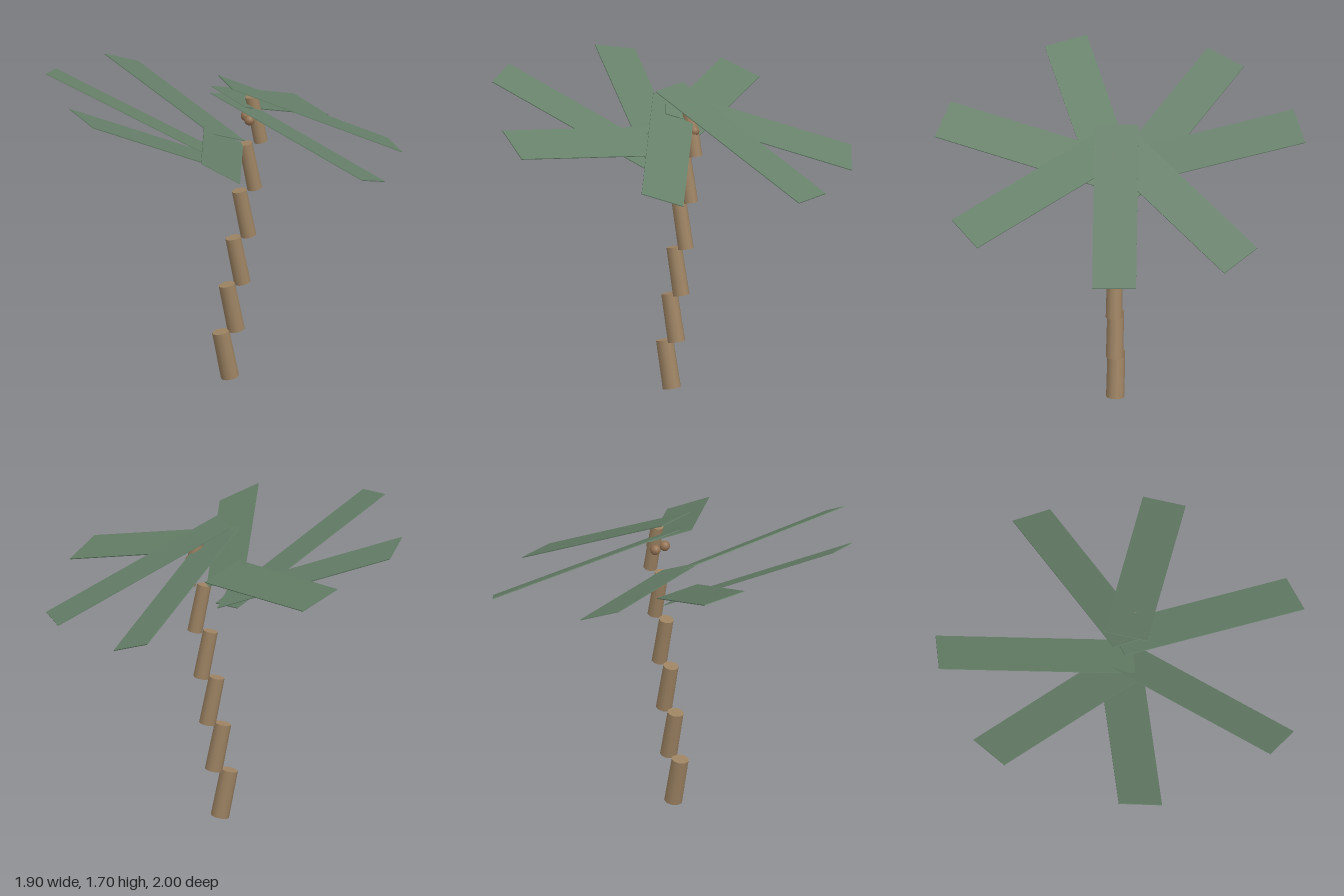
import * as THREE from 'three';

export function createModel() {
  const group = new THREE.Group();
  const bark = new THREE.MeshStandardMaterial({ name: 'bark brown', color: 0x9c8262 });
  const nut = new THREE.MeshStandardMaterial({ name: 'coconut brown', color: 0x927152 });
  const green = new THREE.MeshStandardMaterial({ name: 'leaf green', color: 0x668069 });

  const add = (parent, name, geometry, material) => {
    const mesh = new THREE.Mesh(geometry, material);
    mesh.name = name;
    parent.add(mesh);
    return mesh;
  };

  // Trunk: six tilted, slightly tapering segments stepping towards +x
  const trunk = new THREE.Group();
  trunk.name = 'trunk';
  group.add(trunk);
  for (let i = 0; i < 6; i++) {
    const r = 0.05 - 0.0024 * i;
    const segment = add(trunk, 'trunkSegment', new THREE.CylinderGeometry(r - 0.0025, r, 0.266, 10), bark);
    segment.position.set(-0.024 + 0.0342 * i, 0.141 + 0.2652 * i, 0);
    segment.rotation.z = 0.196;
  }

  // Coconuts: three around the top of the trunk
  for (let i = 0; i < 3; i++) {
    const a = (i * Math.PI * 2) / 3;
    const coconut = add(group, 'coconut', new THREE.SphereGeometry(0.029, 12, 8), nut);
    coconut.position.set(0.121 + 0.042 * Math.cos(a), 1.475, 0.042 * Math.sin(a));
  }

  // Leaves: thin flat blades, each given by root, tip and sideways direction
  const leaves = [
    [[-0.022, 1.685, -0.005], [0.938, 1.222, -0.088], [0.015, 0, 0.235]],
    [[-0.015, 1.615, 0.032], [0.635, 1.26, -0.743], [0.15, -0.08, 0.165]],
    [[-0.03, 1.605, -0.055], [0.61, 1.325, 0.755], [0.16, -0.07, -0.15]],
    [[-0.018, 1.387, 0.04], [-0.363, 1.537, -0.96], [0.205, -0.085, -0.08]],
    [[-0.02, 1.375, -0.055], [-0.29, 1.51, 0.963], [0.2, -0.11, 0.065]],
    [[-0.019, 1.25, 0.01], [-0.865, 1.65, -0.51], [-0.11, 0.05, 0.2]],
    [[-0.029, 1.215, -0.03], [-0.913, 1.675, 0.36], [0.075, -0.04, 0.22]],
  ];
  const crown = new THREE.Group();
  crown.name = 'crown';
  group.add(crown);
  for (const [root, tip, side] of leaves) {
    const a = new THREE.Vector3(...root);
    const b = new THREE.Vector3(...tip);
    const along = b.clone().sub(a).normalize();
    const up = new THREE.Vector3(...side).cross(along).normalize();
    const across = along.clone().cross(up);
    const leaf = add(crown, 'leaf', new THREE.BoxGeometry(a.distanceTo(b), 0.005, 0.236), green);
    leaf.quaternion.setFromRotationMatrix(new THREE.Matrix4().makeBasis(along, up, across));
    leaf.position.copy(a).add(b).multiplyScalar(0.5);
  }

  return group;
}
